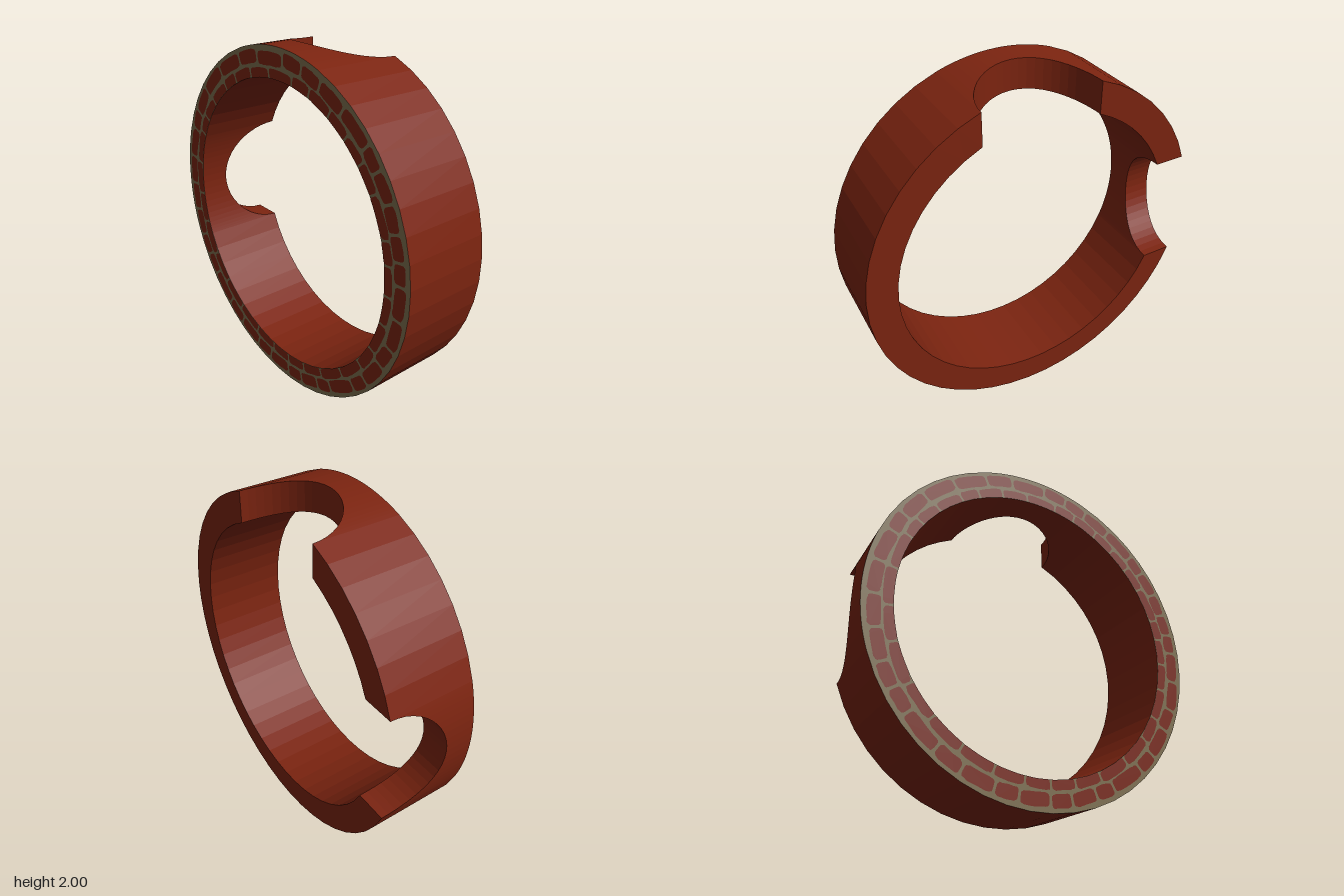
import * as THREE from 'three';

const OUTER = 1, INNER = 0.832, HALF = 0.25, NOTCH = 0.333;

// Columns around the ring: outer angle, inner angle and depth of the back edge
function ringColumns() {
  const cols = [];
  const ao = Math.asin(NOTCH / OUTER), ai = Math.asin(NOTCH / INNER);
  const notch = (centre) => {
    const n = 24;
    for (let i = 0; i <= n; i++) {
      const u = -Math.PI / 2 + (Math.PI * i) / n;
      const t = NOTCH * Math.sin(u);
      cols.push({
        o: centre + Math.asin(t / OUTER),
        i: centre + Math.asin(t / INNER),
        z: -HALF + NOTCH * Math.cos(u),
      });
    }
  };
  const plain = (from, to, n) => {
    for (let k = 1; k < n; k++) {
      const f = k / n;
      cols.push({
        o: THREE.MathUtils.lerp(from + ao, to - ao, f),
        i: THREE.MathUtils.lerp(from + ai, to - ai, f),
        z: -HALF,
      });
    }
  };
  const top = Math.PI / 2, side = Math.PI;
  notch(top);
  plain(top, side, 7);
  notch(side);
  plain(side, top + 2 * Math.PI, 31);
  return cols;
}

function quadGeometry(quads) {
  const pos = [];
  for (const [a, b, c, d] of quads) pos.push(...a, ...b, ...c, ...a, ...c, ...d);
  const g = new THREE.BufferGeometry();
  g.setAttribute('position', new THREE.Float32BufferAttribute(pos, 3));
  g.computeVertexNormals();
  return g;
}

const polar = (r, a, z) => [r * Math.cos(a), r * Math.sin(a), z];

// Seeded random numbers for the uneven bricks
function seeded(seed) {
  return () => {
    seed = (seed * 16807) % 2147483647;
    return seed / 2147483647;
  };
}

// One rounded brick bent along the ring
function brickShape(a0, a1, r0, r1, rand) {
  const pts = [], n = 28;
  const mid = (a0 + a1) / 2, half = (a1 - a0) / 2;
  const rm = (r0 + r1) / 2, rh = (r1 - r0) / 2;
  const skew = (rand() - 0.5) * 0.01;
  const power = (v) => Math.sign(v) * Math.pow(Math.abs(v), 0.4);
  for (let k = 0; k < n; k++) {
    const t = (k / n) * 2 * Math.PI;
    const u = power(Math.cos(t)), v = power(Math.sin(t));
    const wobble = (rand() - 0.5) * 0.005;
    const r = THREE.MathUtils.clamp(rm + rh * v + skew * u + wobble, INNER, 0.99);
    const a = mid + half * u;
    pts.push(new THREE.Vector2(r * Math.cos(a), r * Math.sin(a)));
  }
  return new THREE.Shape(pts);
}

// A full circle of bricks with uneven lengths
function brickCourse(count, r0, r1, gap, start, seed) {
  const rand = seeded(seed);
  const widths = Array.from({ length: count }, () => 0.7 + 0.6 * rand());
  const total = widths.reduce((s, w) => s + w, 0);
  const shapes = [];
  let a = start;
  for (const w of widths) {
    const step = (w / total) * 2 * Math.PI;
    const shift = (rand() - 0.5) * 0.012;
    shapes.push(brickShape(a + gap / 2, a + step - gap / 2, r0 + shift, r1 + shift, rand));
    a += step;
  }
  return new THREE.ShapeGeometry(shapes);
}

export function createModel() {
  const model = new THREE.Group();
  model.name = 'notchedBrickRing';
  const brick = new THREE.MeshStandardMaterial({ color: 0x7c2410, flatShading: true });
  brick.name = 'brick red';
  const mortar = new THREE.MeshStandardMaterial({ color: 0x7f7050, flatShading: true });
  mortar.name = 'mortar';

  const add = (name, geometry, material) => {
    const mesh = new THREE.Mesh(geometry, material);
    mesh.name = name;
    mesh.position.y = 1;
    model.add(mesh);
  };

  const cols = ringColumns();
  const outer = [], inner = [], back = [], front = [];
  cols.forEach((c, k) => {
    const d = cols[(k + 1) % cols.length];
    const fo = polar(OUTER, c.o, HALF), fo2 = polar(OUTER, d.o, HALF);
    const bo = polar(OUTER, c.o, c.z), bo2 = polar(OUTER, d.o, d.z);
    const fi = polar(INNER, c.i, HALF), fi2 = polar(INNER, d.i, HALF);
    const bi = polar(INNER, c.i, c.z), bi2 = polar(INNER, d.i, d.z);
    outer.push([fo, bo, bo2, fo2]);
    inner.push([fi2, bi2, bi, fi]);
    back.push([bo, bi, bi2, bo2]);
    front.push([fo, fo2, fi2, fi]);
  });

  // Ring body; the back strip also lines both round notches
  add('outerWall', quadGeometry(outer), brick);
  add('innerWall', quadGeometry(inner), brick);
  add('backFaceAndNotches', quadGeometry(back), brick);
  add('mortarFace', quadGeometry(front), mortar);

  // Two courses of bricks on the front face
  const courses = [
    ['outerBricks', brickCourse(35, 0.902, 0.975, 0.016, 0.06, 77)],
    ['innerBricks', brickCourse(31, 0.826, 0.888, 0.014, 0.15, 4021)],
  ];
  for (const [name, geometry] of courses) {
    geometry.translate(0, 0, HALF + 0.002);
    add(name, geometry, brick);
  }
  return model;
}
